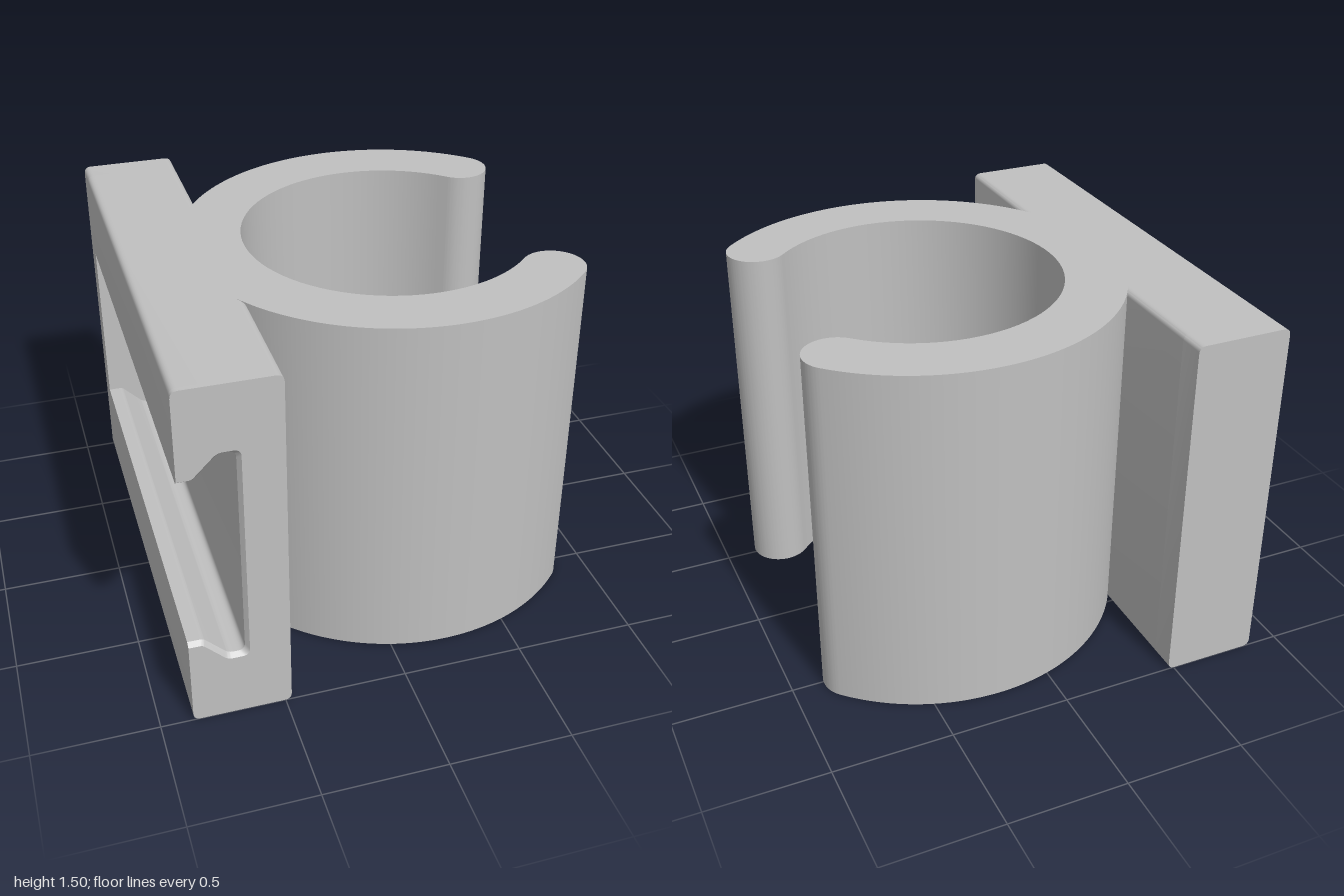
import * as THREE from 'three';
import { toCreasedNormals } from 'three/addons/utils/BufferGeometryUtils.js';

const X0 = -0.87, X1 = -0.475, H = 1.5, MID = 0.751;
const BACK_WALL = -0.89, CHAMFER = 0.02;

// Closed outline from [x, y, cornerRadius] entries
function roundedOutline(list) {
  const pts = list.map(([x, y]) => new THREE.Vector2(x, y));
  const out = [];
  list.forEach(([, , r], i) => {
    const p = pts[i];
    if (!r) { out.push(p); return; }
    const toward = (q) => p.clone().add(q.clone().sub(p).setLength(r));
    const a = toward(pts[(i + pts.length - 1) % pts.length]);
    const b = toward(pts[(i + 1) % pts.length]);
    out.push(...new THREE.QuadraticBezierCurve(a, p, b).getPoints(6));
  });
  return out;
}

const plateCorners = [[X0, 0, 0.03], [X1, 0, 0.03], [X1, H, 0.03], [X0, H, 0.03]];

// Plate section with the hooked slot; grow widens the slot
function slottedOutline(grow) {
  const k = grow * 0.414;
  const half = [
    [X0, 0.366 + grow, 0],
    [-0.809 - k, 0.366 + grow, 0.012],
    [-0.715 - k, 0.46 + grow, 0.02],
    [-0.65 + grow, 0.46 + grow, 0.03],
  ];
  const upper = half.map(([x, y, r]) => [x, MID + y, r]);
  const lower = half.map(([x, y, r]) => [x, MID - y, r]).reverse();
  return roundedOutline([...plateCorners, ...upper, ...lower]);
}

function extrude(shape, depth, curveSegments = 12) {
  return new THREE.ExtrudeGeometry(shape, { depth, bevelEnabled: false, curveSegments });
}

export function createModel() {
  const group = new THREE.Group();
  const grey = new THREE.MeshStandardMaterial({ color: 0xc0c0c0 });
  const add = (name, geometry) => {
    const mesh = new THREE.Mesh(toCreasedNormals(geometry, 0.6), grey);
    mesh.name = name;
    group.add(mesh);
  };

  // Solid end that closes the slot at the back
  const end = extrude(new THREE.Shape(roundedOutline(plateCorners)), BACK_WALL + 1);
  add('plateEnd', end.translate(0, 0, -1));

  // Main length of the slotted mounting plate
  const inner = slottedOutline(0), outer = slottedOutline(0.015);
  const rail = extrude(new THREE.Shape(inner), 1 - CHAMFER - BACK_WALL);
  add('slottedPlate', rail.translate(0, 0, BACK_WALL));

  // Slot mouth: the front edge flares to the wider slot
  const mouth = extrude(new THREE.Shape(inner), CHAMFER);
  const pos = mouth.attributes.position;
  for (let i = 0; i < pos.count; i++) {
    if (pos.getZ(i) < CHAMFER / 2) continue;
    const j = inner.findIndex((p) => Math.hypot(p.x - pos.getX(i), p.y - pos.getY(i)) < 1e-4);
    if (j >= 0) pos.setXY(i, outer[j].x, outer[j].y);
  }
  add('slotMouth', mouth.translate(0, 0, 1 - CHAMFER));

  // Open C-shaped clip with rounded tips, cut off inside the plate
  const cx = 0.23, R = 0.85, r = 0.6, q = Math.PI / 4;
  const rm = (R + r) / 2, rt = (R - r) / 2, tip = rm * Math.SQRT1_2;
  const cut = Math.acos((-0.505 - cx) / R);
  const clip = new THREE.Shape();
  clip.absarc(cx, 0, R, q, cut, false);
  clip.absarc(cx, 0, R, 2 * Math.PI - cut, 7 * q, false);
  clip.absarc(cx + tip, -tip, rt, 7 * q, 11 * q, false);
  clip.absarc(cx, 0, r, 7 * q, q, true);
  clip.absarc(cx + tip, tip, rt, 5 * q, 9 * q, false);
  add('clipRing', extrude(clip, H, 32).rotateX(-Math.PI / 2));

  return group;
}
